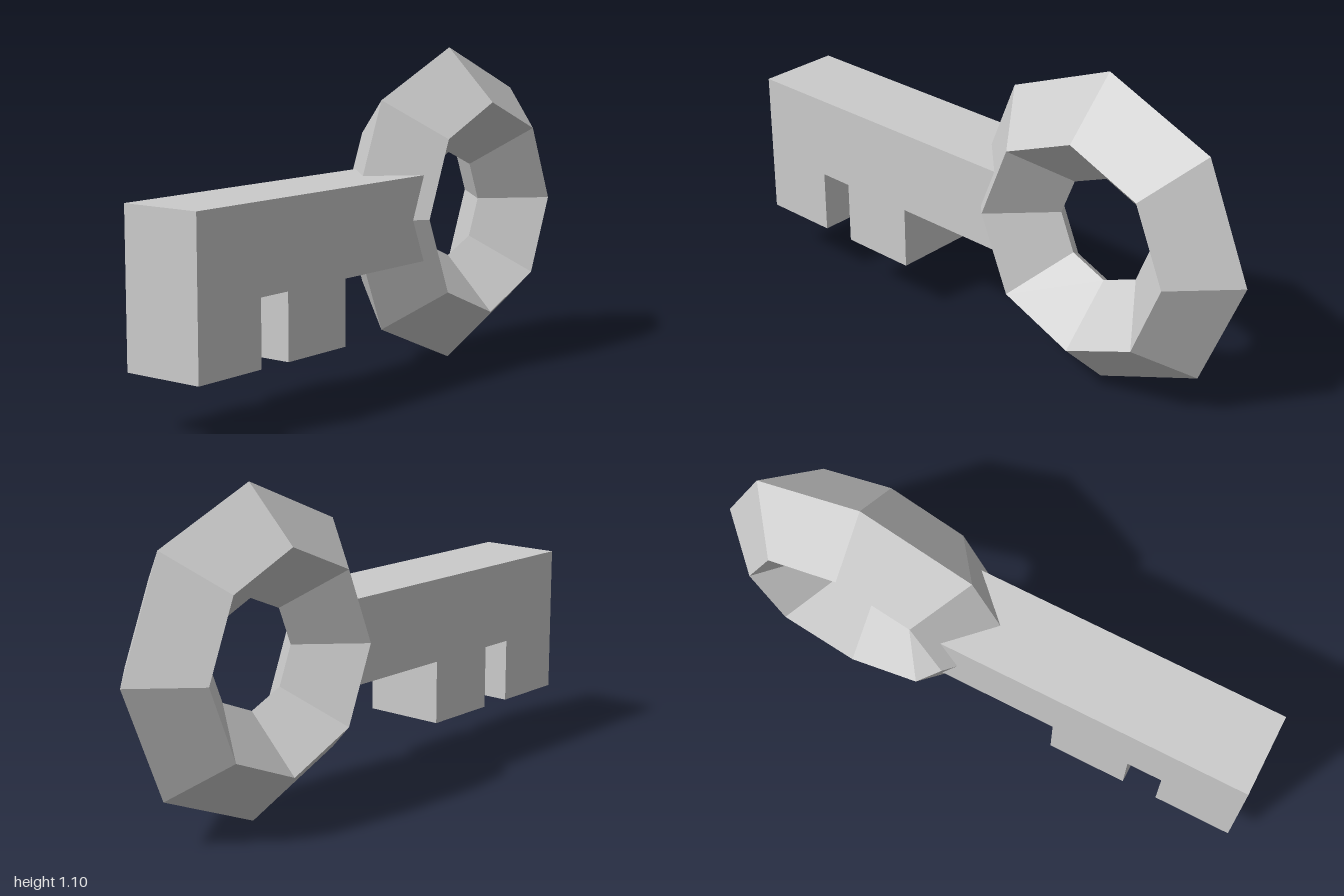
import * as THREE from 'three';

export function createModel() {
  const group = new THREE.Group();
  const material = new THREE.MeshStandardMaterial({ color: 0xcccccc, flatShading: true });

  // Handle: eight-sided ring with a diamond cross-section
  const ring = new THREE.Mesh(new THREE.TorusGeometry(0.368, 0.184, 4, 8), material);
  ring.name = 'ringHandle';
  ring.position.set(0.447, 0.555, 0);
  group.add(ring);

  // Shaft and its two teeth, one solid outline; the right end is buried in the ring
  const depth = 0.29;
  const outline = [
    [-1, 0.19], [-0.725, 0.19], [-0.725, 0.41], [-0.6, 0.41], [-0.6, 0.19],
    [-0.32, 0.19], [-0.32, 0.41], [0.105, 0.41], [0.105, 0.7], [-1, 0.7],
  ].map(([x, y]) => new THREE.Vector2(x, y));
  const geometry = new THREE.ExtrudeGeometry(new THREE.Shape(outline), { depth, bevelEnabled: false });
  geometry.translate(0, 0, -depth / 2);
  const shaft = new THREE.Mesh(geometry, material);
  shaft.name = 'toothedShaft';
  group.add(shaft);

  return group;
}
